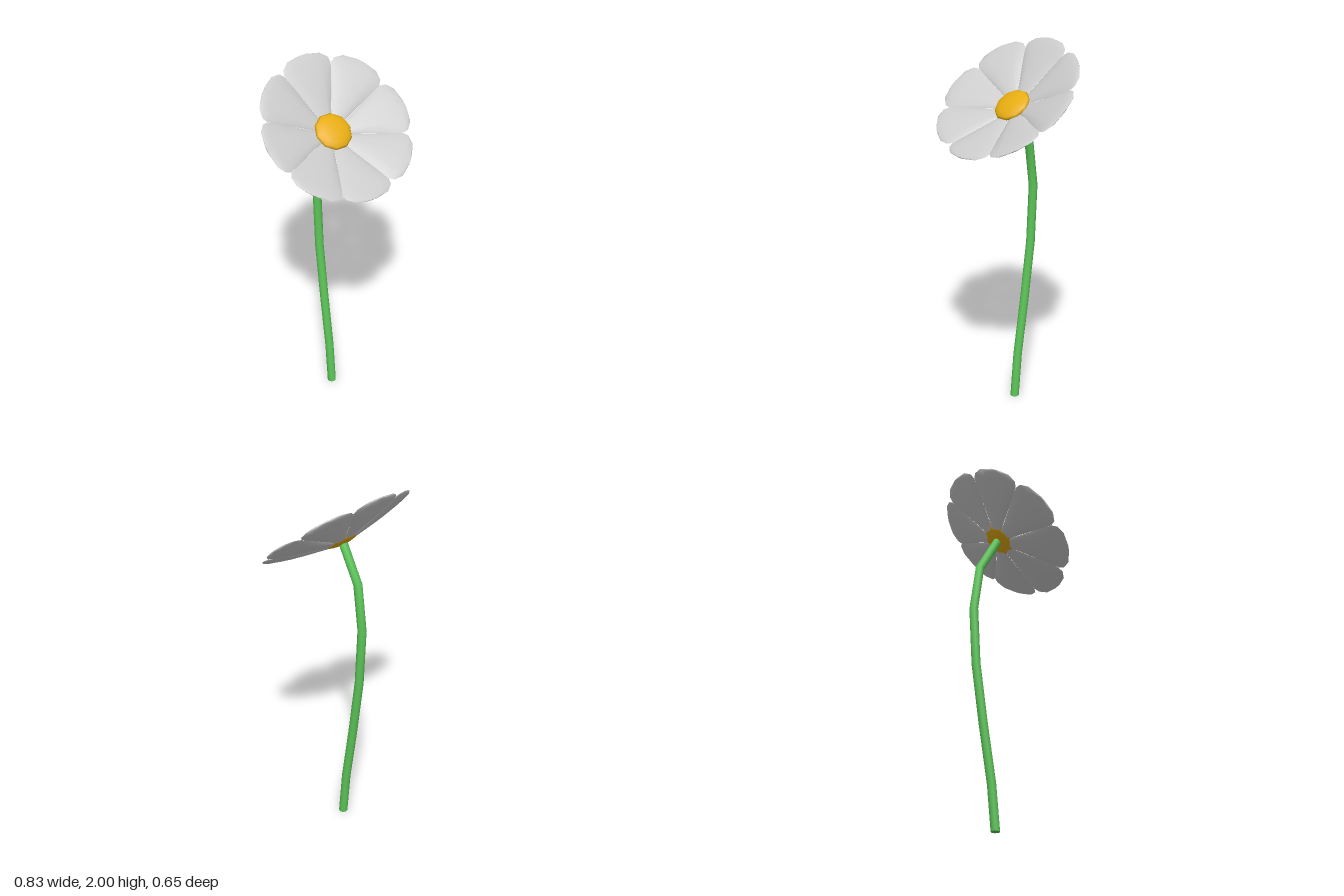
import * as THREE from 'three';
import { toCreasedNormals } from 'three/addons/utils/BufferGeometryUtils.js';

// Skin a row of closed rings (each an array of Vector3) and cap both ends.
function loft(rings) {
  const n = rings[0].length, last = rings.length - 1;
  const centre = (ring) => ring.reduce((s, p) => s.add(p), new THREE.Vector3()).divideScalar(n);
  const points = [...rings.flat(), centre(rings[0]), centre(rings[last])];
  const index = [];
  for (let j = 0; j < n; j++) {
    const k = (j + 1) % n;
    for (let i = 0; i < last; i++) {
      const a = i * n + j, b = i * n + k;
      index.push(a, b, a + n, b, b + n, a + n);
    }
    index.push(points.length - 2, k, j);
    index.push(points.length - 1, last * n + j, last * n + k);
  }
  const geometry = new THREE.BufferGeometry().setFromPoints(points);
  geometry.setIndex(index);
  return toCreasedNormals(geometry, 1.0);
}

// Slim stalk bending back, then forward into the flower head.
function stemGeometry() {
  const path = [[0, -0.065], [0.25, -0.088], [0.57, -0.138], [0.9, -0.183], [1.22, -0.2], [1.475, -0.166], [1.67, -0.058]]
    .map(([y, z]) => new THREE.Vector3(0, y, z));
  const radius = 0.024, sides = 10;
  return loft(path.map((p, i) => {
    const before = path[Math.max(i - 1, 0)], after = path[Math.min(i + 1, path.length - 1)];
    const t = i === 0 ? new THREE.Vector3(0, 1, 0) : after.clone().sub(before).normalize();
    return Array.from({ length: sides }, (_, j) => {
      const a = (j / sides) * Math.PI * 2, c = radius * Math.cos(a);
      return new THREE.Vector3(radius * Math.sin(a), p.y - t.z * c, p.z + t.y * c);
    });
  }));
}

// Lens-shaped petal pointing along +z, rising towards its tip.
function petalGeometry() {
  // distance from centre, half width, half thickness, height
  const sections = [
    [0.075, 0.031, 0.006, -0.013],
    [0.14, 0.057, 0.010, 0.003],
    [0.22, 0.091, 0.013, 0.021],
    [0.29, 0.121, 0.013, 0.037],
    [0.338, 0.139, 0.011, 0.048],
    [0.368, 0.134, 0.009, 0.055],
    [0.4, 0.096, 0.007, 0.061],
    [0.413, 0.025, 0.003, 0.064],
  ];
  const sides = 12;
  return loft(sections.map(([r, w, t, h]) => Array.from({ length: sides }, (_, j) => {
    const a = (j / sides) * Math.PI * 2;
    return new THREE.Vector3(w * Math.cos(a), h + t * Math.sin(a), r);
  })));
}

export function createModel() {
  const flower = new THREE.Group();
  flower.name = 'flower';
  const material = (color) => new THREE.MeshStandardMaterial({ color });

  const stem = new THREE.Mesh(stemGeometry(), material(0x5cc658));
  stem.name = 'stem';
  flower.add(stem);

  // Head tilts towards the front.
  const head = new THREE.Group();
  head.name = 'flowerHead';
  head.position.set(0, 1.69, -0.042);
  head.rotation.x = 0.682;
  flower.add(head);

  const centre = new THREE.Mesh(new THREE.SphereGeometry(0.102, 10, 8), material(0xe6ac10));
  centre.name = 'flowerCentre';
  centre.scale.y = 0.3;
  head.add(centre);

  // Eight equal petals around the centre.
  const petalShape = petalGeometry(), petalMaterial = material(0xcccccc);
  for (let i = 0; i < 8; i++) {
    const petal = new THREE.Mesh(petalShape, petalMaterial);
    petal.name = `petal${i + 1}`;
    petal.rotation.y = (i * Math.PI) / 4;
    head.add(petal);
  }
  return flower;
}
